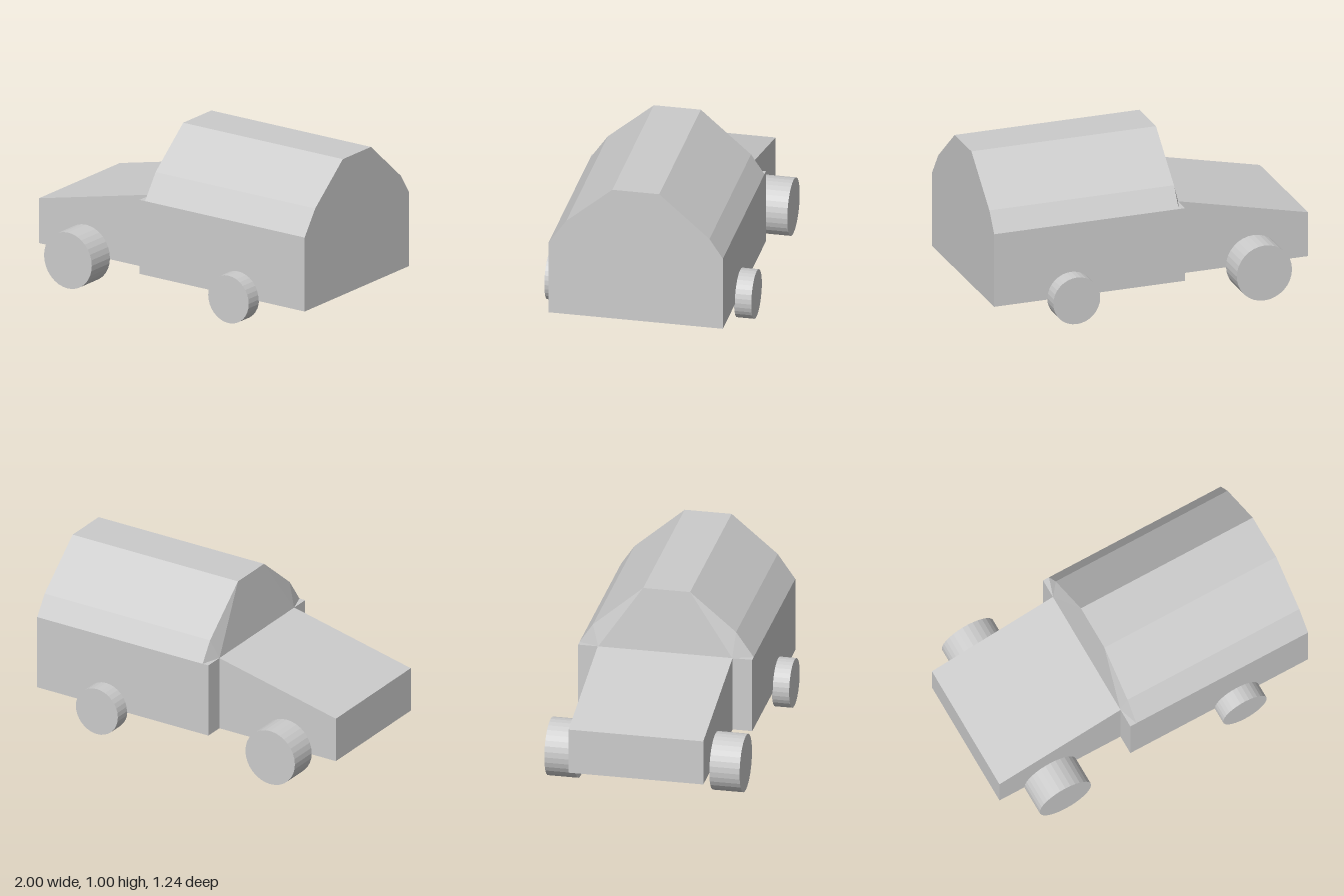
import * as THREE from 'three';

const material = new THREE.MeshStandardMaterial({ color: 0xcccccc, flatShading: true });

function addMesh(parent, name, geometry) {
  const mesh = new THREE.Mesh(geometry, material);
  mesh.name = name;
  parent.add(mesh);
  return mesh;
}

// Turns convex polygons (corners counter-clockwise from outside) into a faceted geometry.
function facets(polygons) {
  const points = [];
  for (const p of polygons) {
    for (let i = 1; i < p.length - 1; i++) points.push(p[0], p[i], p[i + 1]);
  }
  const geometry = new THREE.BufferGeometry().setFromPoints(points);
  geometry.computeVertexNormals();
  return geometry;
}

function roofGeometry() {
  // Roof outline as [z, y], from the far eave over the ridge to the near eave.
  const profile = [[-0.52, 0.62], [-0.44, 0.74], [-0.14, 1], [0.14, 1], [0.415, 0.77], [0.52, 0.62]];
  const section = (x) => profile.map(([z, y]) => new THREE.Vector3(x, y, z));
  const front = section(-0.15);
  const rear = section(1);
  const polygons = [rear];
  for (let i = 0; i < profile.length - 1; i++) {
    polygons.push([front[i], front[i + 1], rear[i + 1], rear[i]]);
  }
  // Leaning windscreen with folded corner panels.
  const baseFar = new THREE.Vector3(-0.19, 0.62, -0.4);
  const baseNear = new THREE.Vector3(-0.19, 0.62, 0.4);
  polygons.push(
    [baseFar, baseNear, front[3], front[2]],
    [baseNear, front[4], front[3]],
    [baseNear, front[5], front[4]],
    [baseFar, front[2], front[1]],
    [baseFar, front[1], front[0]],
  );
  return facets(polygons);
}

export function createModel() {
  const model = new THREE.Group();
  model.name = 'van';

  // Cabin: box below, faceted roof above
  addMesh(model, 'cabinBody', new THREE.BoxGeometry(1.19, 0.455, 1.04)).position.set(0.405, 0.3925, 0);
  addMesh(model, 'roof', roofGeometry());

  // Sloping hood
  const side = new THREE.Shape([
    new THREE.Vector2(-1, 0.165), new THREE.Vector2(-0.19, 0.165),
    new THREE.Vector2(-0.19, 0.62), new THREE.Vector2(-1, 0.44),
  ]);
  const hood = new THREE.ExtrudeGeometry(side, { depth: 0.805, bevelEnabled: false });
  addMesh(model, 'hood', hood).position.z = -0.4025;

  // Wheels, mirrored across the body
  const axles = [
    { name: 'hoodWheel', x: -0.66, y: 0.172, radius: 0.172, inner: 0.402, outer: 0.583 },
    { name: 'cabinWheel', x: 0.522, y: 0.173, radius: 0.146, inner: 0.515, outer: 0.618 },
  ];
  for (const { name, x, y, radius, inner, outer } of axles) {
    const wheel = new THREE.CylinderGeometry(radius, radius, outer - inner, 32).rotateX(Math.PI / 2);
    for (const s of [1, -1]) {
      addMesh(model, name + (s > 0 ? 'Near' : 'Far'), wheel).position.set(x, y, s * (inner + outer) / 2);
    }
  }
  return model;
}
